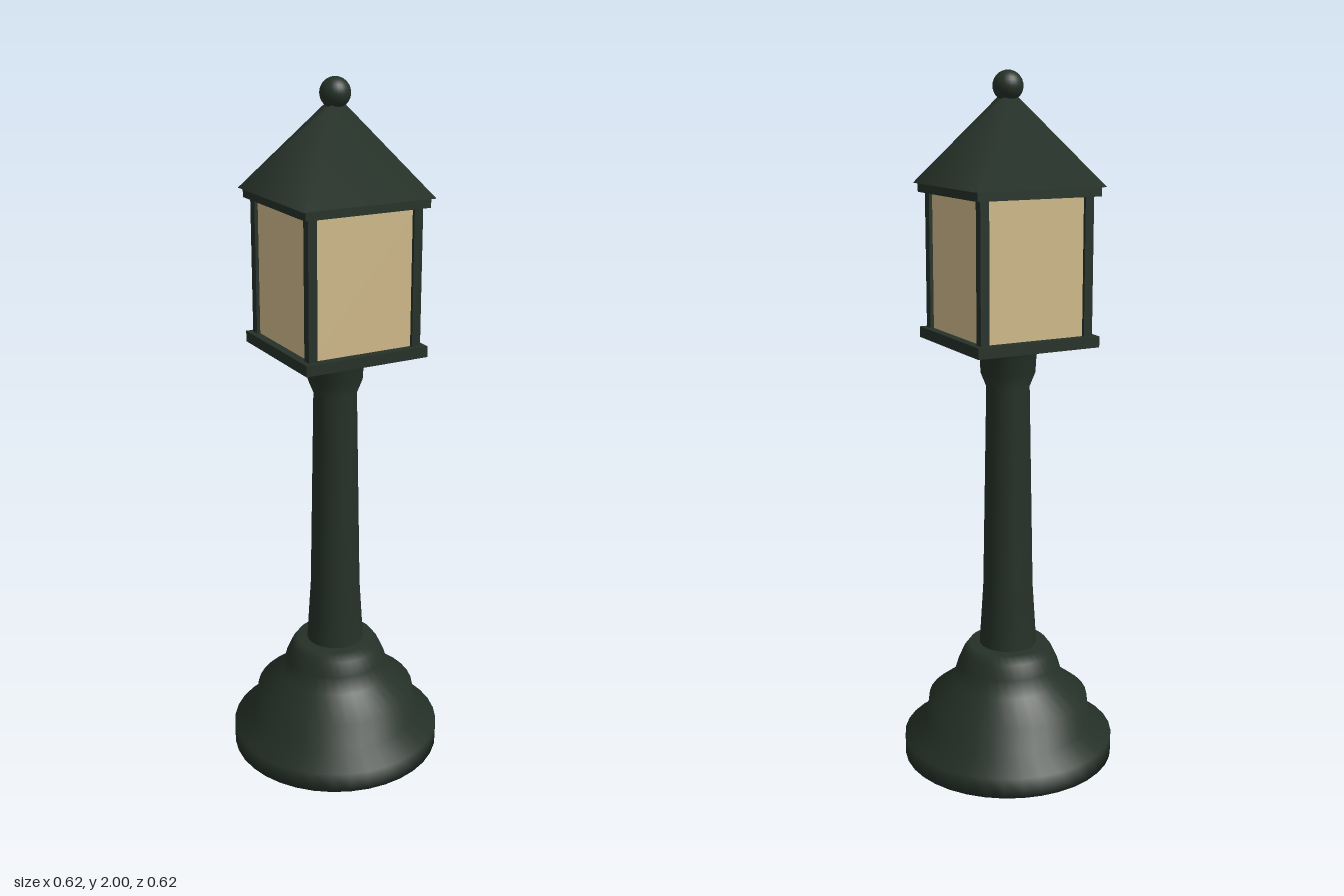
import * as THREE from 'three';

export function createModel() {
  const model = new THREE.Group();
  const iron = new THREE.MeshStandardMaterial({ color: 0x253128 });
  iron.name = 'dark green iron';
  const glass = new THREE.MeshStandardMaterial({ color: 0xd0ba8a });
  glass.name = 'warm glass';

  const add = (name, geometry, material, x = 0, y = 0, z = 0) => {
    const mesh = new THREE.Mesh(geometry, material);
    mesh.name = name;
    mesh.position.set(x, y, z);
    model.add(mesh);
    return mesh;
  };
  const turned = (points) =>
    new THREE.LatheGeometry(points.map(([r, y]) => new THREE.Vector2(r, y)), 36);

  // Stepped round foot
  add('base', turned([
    [0, 0], [0.312, 0], [0.312, 0.06], [0.247, 0.1], [0.237, 0.18],
    [0.165, 0.235], [0.15, 0.285], [0.132, 0.325], [0.115, 0.348], [0, 0.348],
  ]), iron);

  // Tapered shaft with a flared collar
  add('column', turned([
    [0.085, 0.34], [0.073, 0.53], [0.062, 1.13], [0.078, 1.17],
    [0.081, 1.22], [0.1, 1.258],
  ]), iron);

  // Lantern floor and top frame
  add('lanternFloor', new THREE.BoxGeometry(0.374, 0.031, 0.374), iron, 0, 1.272, 0);
  add('lanternTopFrame', new THREE.BoxGeometry(0.374, 0.027, 0.374), iron, 0, 1.683, 0);

  // Glass body and corner posts
  add('glass', new THREE.BoxGeometry(0.324, 0.39, 0.324), glass, 0, 1.478, 0);
  for (const x of [-1, 1]) {
    for (const z of [-1, 1]) {
      add('cornerPost', new THREE.BoxGeometry(0.026, 0.39, 0.026), iron, x * 0.159, 1.478, z * 0.159);
    }
  }

  // Four-sided roof, softly shaded
  const roof = new THREE.CylinderGeometry(0.02 * Math.SQRT2, 0.197 * Math.SQRT2, 0.235, 4, 1);
  roof.rotateY(Math.PI / 4);
  add('roof', roof, iron, 0, 1.812, 0);

  // Ball on top
  add('finial', new THREE.SphereGeometry(0.042, 24, 16), iron, 0, 1.958, 0);

  return model;
}
